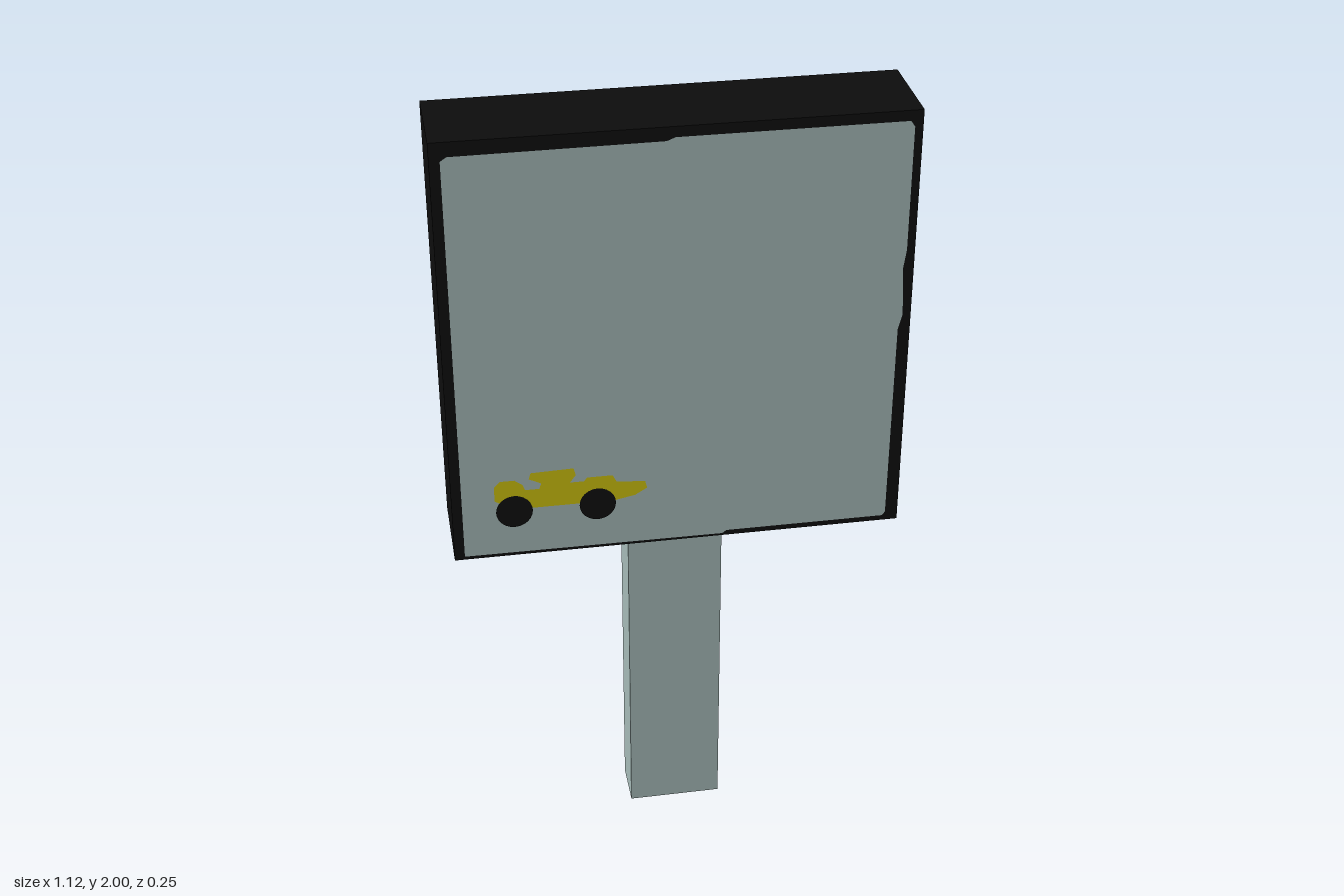
import * as THREE from 'three';

export function createModel() {
  const model = new THREE.Group();
  const material = (name, color) => {
    const m = new THREE.MeshStandardMaterial({ color });
    m.name = name;
    return m;
  };
  const black = material('black', 0x0d0d0d);
  const grey = material('pale grey green', 0xa5b9b7);
  const yellow = material('yellow', 0xcdc10f);
  grey.side = THREE.DoubleSide; // the post is an open tube

  const add = (name, geometry, mat, x = 0, y = 0, z = 0) => {
    const mesh = new THREE.Mesh(geometry, mat);
    mesh.name = name;
    mesh.position.set(x, y, z);
    model.add(mesh);
    return mesh;
  };
  const outline = (points) =>
    new THREE.ShapeGeometry(new THREE.Shape(points.map(([x, y]) => new THREE.Vector2(x, y))));

  // Deep square sign box
  add('signBox', new THREE.BoxGeometry(1.12, 1.11, 0.24), black, 0, 1.445, 0);

  // Hollow rectangular post, open at both ends
  const post = new THREE.CylinderGeometry(Math.SQRT1_2, Math.SQRT1_2, 0.89, 4, 1, true).toNonIndexed();
  post.rotateY(Math.PI / 4);
  post.scale(0.24, 1, 0.12);
  post.computeVertexNormals();
  add('post', post, grey, 0, 0.445, 0);

  // Slightly uneven painted panel
  add('frontPanel', outline([
    [-0.535, 0.9], [0.11, 0.897], [0.12, 0.905], [0.52, 0.905], [0.528, 0.915],
    [0.53, 1.44], [0.54, 1.48], [0.533, 1.6], [0.54, 1.65], [0.54, 1.96],
    [0.53, 1.975], [-0.01, 1.975], [-0.03, 1.967], [-0.52, 1.965], [-0.535, 1.955],
  ]), grey, 0, 0, 0.122);

  // Small painted car: body with wing and cockpit, then two wheels
  add('carBody', outline([
    [-0.455, 1.055], [-0.455, 1.095], [-0.44, 1.11], [-0.405, 1.11], [-0.385, 1.095],
    [-0.38, 1.08], [-0.345, 1.08], [-0.34, 1.095], [-0.37, 1.11], [-0.365, 1.127],
    [-0.26, 1.13], [-0.255, 1.11], [-0.27, 1.09], [-0.235, 1.09], [-0.228, 1.1],
    [-0.165, 1.1], [-0.155, 1.08], [-0.085, 1.075], [-0.08, 1.055], [-0.11, 1.037],
    [-0.16, 1.027], [-0.41, 1.027],
  ]), yellow, 0, 0, 0.124);
  for (const [name, x] of [['rearWheel', -0.408], ['frontWheel', -0.203]]) {
    add(name, new THREE.CircleGeometry(0.045, 24), black, x, 1.022, 0.126);
  }

  return model;
}
